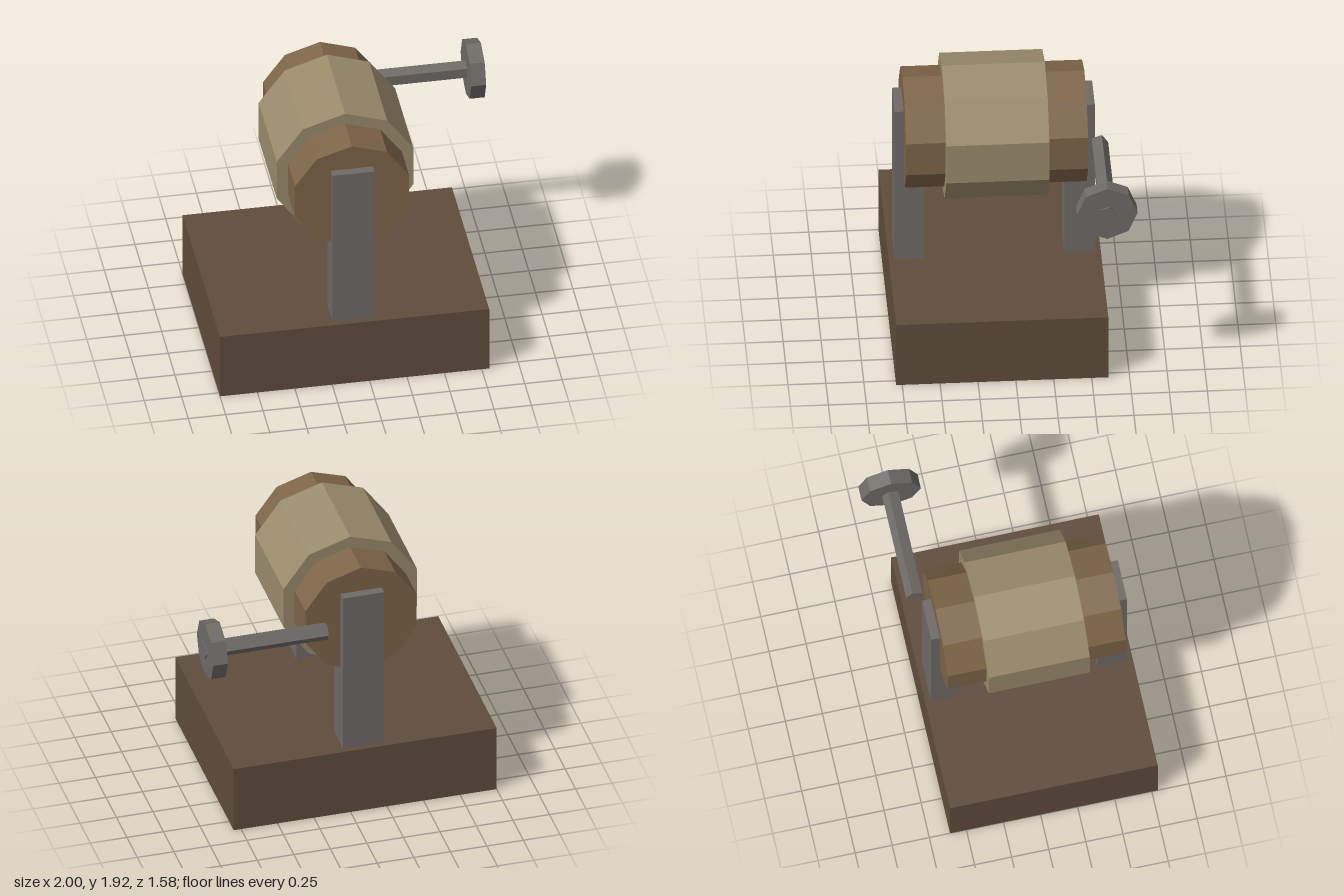
import * as THREE from 'three';

export function createModel() {
  const model = new THREE.Group();
  const mat = (color) => new THREE.MeshStandardMaterial({ color, flatShading: true });
  const darkWood = mat(0x5f4c3b);
  const wood = mat(0x7d6548);
  const paleWood = mat(0x9a8b6c);
  const metal = mat(0x6e6a66);

  const add = (name, geometry, material, x, y, z) => {
    const mesh = new THREE.Mesh(geometry, material);
    mesh.name = name;
    mesh.position.set(x, y, z);
    model.add(mesh);
  };
  const prismZ = (r, length, sides) =>
    new THREE.CylinderGeometry(r, r, length, sides).rotateX(Math.PI / 2);
  // one corner points towards -z
  const prismX = (r, length, sides) =>
    new THREE.CylinderGeometry(r, r, length, sides).rotateY(Math.PI).rotateZ(Math.PI / 2);

  // Base block
  add('base', new THREE.BoxGeometry(1.8, 0.48, 1.4), darkWood, -0.1, 0.24, 0.09);

  // Upright posts at both ends of the drum
  for (const [name, z] of [['frontPost', 0.65], ['backPost', -0.47]]) {
    add(name, new THREE.BoxGeometry(0.28, 1.18, 0.2), metal, -0.1, 1.07, z);
  }

  // Ten-sided drum with a wider middle band
  add('drum', prismZ(0.4, 1.2, 10), wood, -0.1, 1.44, 0.09);
  add('drumBand', prismZ(0.48, 0.68, 10), paleWood, -0.1, 1.44, 0.09);

  // Crank rod and its octagonal handwheel
  add('crankRod', prismX(0.06, 0.84, 5), metal, 0.58, 1.44, -0.59);
  add('crankWheel', prismX(0.2, 0.1, 8), metal, 0.94, 1.44, -0.59);

  return model;
}
